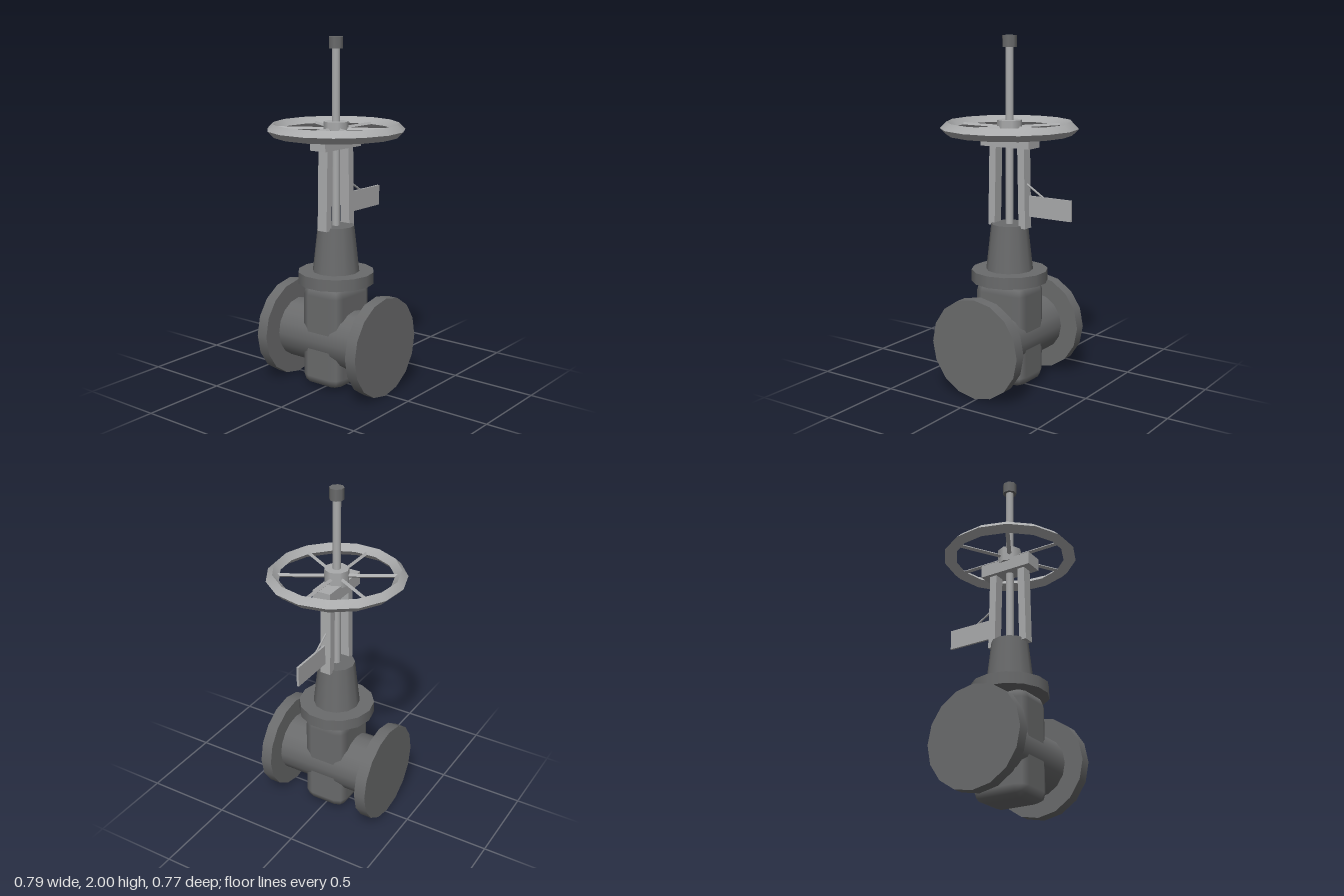
import * as THREE from 'three';
import { toCreasedNormals } from 'three/addons/utils/BufferGeometryUtils.js';
import { RoundedBoxGeometry } from 'three/addons/geometries/RoundedBoxGeometry.js';

const castIron = new THREE.MeshStandardMaterial({ color: 0x6a6b6c });
castIron.name = 'dark cast iron';
const steel = new THREE.MeshStandardMaterial({ color: 0xaaabac });
steel.name = 'light steel';

export function createModel() {
  const model = new THREE.Group();
  model.name = 'gateValve';

  // everything is built around the stem axis, which sits slightly off centre
  const valve = new THREE.Group();
  valve.name = 'valve';
  valve.position.x = -0.015;
  model.add(valve);

  function add(name, geometry, material, x = 0, y = 0, z = 0, parent = valve) {
    const mesh = new THREE.Mesh(geometry, material);
    mesh.name = name;
    mesh.position.set(x, y, z);
    parent.add(mesh);
    return mesh;
  }
  // upright cylinder between two heights
  function post(name, rTop, rBottom, y0, y1, sides, material, turn = 0) {
    const g = new THREE.CylinderGeometry(rTop, rBottom, y1 - y0, sides);
    g.rotateY(turn);
    return add(name, g, material, 0, (y0 + y1) / 2, 0);
  }

  // pipe run with a flange at each end
  const pipeY = 0.29;
  add('pipe', new THREE.CylinderGeometry(0.175, 0.175, 0.6, 16).rotateX(Math.PI / 2), castIron, 0, pipeY, 0);
  for (const s of [1, -1]) {
    const flange = new THREE.CylinderGeometry(0.286, 0.286, 0.068, 16).rotateX(Math.PI / 2);
    add(s > 0 ? 'frontFlange' : 'backFlange', flange, castIron, 0, pipeY, s * 0.32);
  }

  // gate housing, bonnet flange and tapered bonnet
  add('gateHousing', new RoundedBoxGeometry(0.33, 0.6, 0.27, 1, 0.06), castIron, 0, 0.315, 0);
  post('bonnetFlange', 0.219, 0.219, 0.613, 0.68, 14, castIron);
  post('bonnet', 0.105, 0.135, 0.675, 0.945, 12, castIron);

  // yoke: two leaning legs and a crossbar
  for (const s of [1, -1]) {
    const legShape = new THREE.Shape();
    legShape.moveTo(-0.022 + s * 0.104, 0.93);
    legShape.lineTo(0.022 + s * 0.104, 0.93);
    legShape.lineTo(0.022 + s * 0.094, 1.39);
    legShape.lineTo(-0.022 + s * 0.094, 1.39);
    const leg = new THREE.ExtrudeGeometry(legShape, { depth: 0.064, bevelEnabled: false });
    add(s > 0 ? 'leftYokeLeg' : 'rightYokeLeg', leg.translate(0, 0, -0.032), steel);
  }
  add('yokeCrossbar', new THREE.BoxGeometry(0.325, 0.075, 0.108), steel, 0, 1.422, 0);

  // rising stem with end cap
  post('stem', 0.023, 0.023, 0.94, 1.94, 12, steel);
  post('stemCap', 0.041, 0.041, 1.935, 2, 8, castIron, Math.PI / 8);

  // handwheel
  const wheel = new THREE.Group();
  wheel.name = 'handwheel';
  wheel.position.y = 1.49;
  valve.add(wheel);
  const rim = new THREE.TorusGeometry(0.353, 0.036, 4, 15).rotateX(Math.PI / 2);
  add('wheelRim', toCreasedNormals(rim, 0.6), steel, 0, 0, 0, wheel);
  add('wheelHub', new THREE.CylinderGeometry(0.07, 0.07, 0.09, 8), steel, 0, 0, 0, wheel);
  for (let i = 0; i < 6; i++) {
    const spoke = new THREE.CylinderGeometry(0.012, 0.012, 0.28, 4);
    spoke.rotateZ(Math.PI / 2).translate(0.19, 0, 0).rotateY(i * Math.PI / 3);
    add('wheelSpoke', toCreasedNormals(spoke, 0.6), steel, 0, 0, 0, wheel);
  }

  // blank tag hanging from a wire on the left leg
  add('tagPlate', new THREE.BoxGeometry(0.272, 0.118, 0.013), steel, 0.256, 1.059, 0, model);
  const wirePath = new THREE.LineCurve3(new THREE.Vector3(0.09, 1.19, 0), new THREE.Vector3(0.215, 1.112, 0));
  add('tagWire', new THREE.TubeGeometry(wirePath, 1, 0.006, 6), steel, 0, 0, 0, model);

  return model;
}
